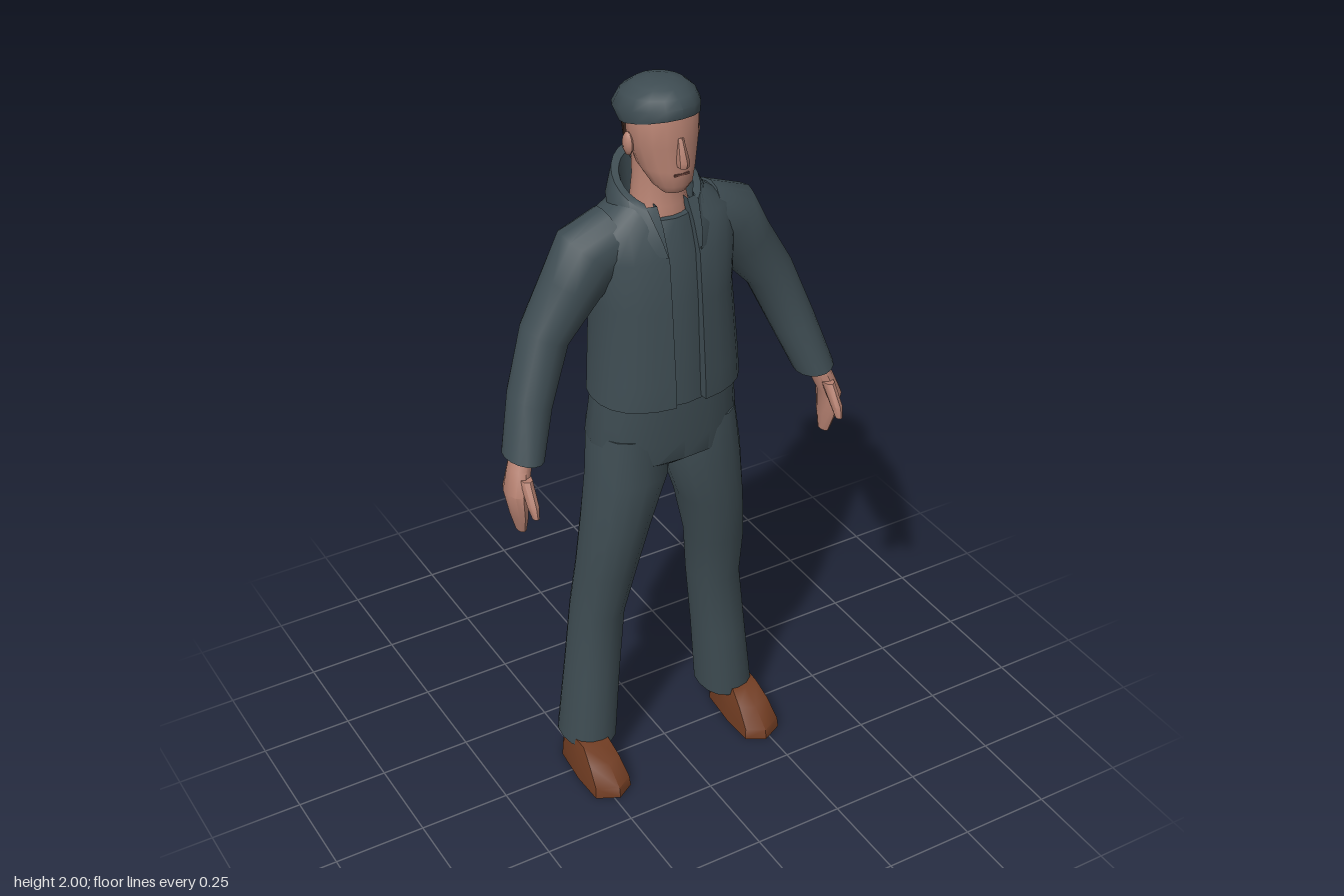
import * as THREE from 'three';
import { toCreasedNormals } from 'three/addons/utils/BufferGeometryUtils.js';

const mat = (name, color, side = THREE.FrontSide) => {
  const m = new THREE.MeshStandardMaterial({ color, side });
  m.name = name;
  return m;
};

// One cross-section, starting at the front and turning toward +x.
// tilt leans it sideways, slope raises it along z, gap leaves an opening at the front, lip folds its edges inward.
function ring(x, y, z, rx, rz, { tilt = 0, slope = 0, n = 16, p = 1, gap = 0, lip = 0, from = 0 } = {}) {
  const start = gap ? Math.asin(Math.pow(gap / rx, 1 / p)) : from;
  const open = start > 0;
  const count = open ? n + 1 : n;
  const pts = [];
  for (let i = 0; i < count; i++) {
    const a = start + (2 * Math.PI - 2 * start) * i / n;
    const s = Math.sin(a), c = Math.cos(a);
    const u = rx * Math.sign(s) * Math.pow(Math.abs(s), p);
    const w = rz * Math.sign(c) * Math.pow(Math.abs(c), p);
    pts.push(new THREE.Vector3(x + u * Math.cos(tilt), y + u * Math.sin(tilt) + slope * w, z + w));
  }
  if (lip) {
    const fold = q => new THREE.Vector3(q.x, q.y, q.z - lip);
    pts.unshift(fold(pts[0]));
    pts.push(fold(pts[pts.length - 1]));
  }
  return pts;
}

// Skin over cross-sections given from bottom to top
function loft(rings, { open = false, caps = !open, crease = 0.8 } = {}) {
  const out = [], n = rings[0].length;
  const tri = (...v) => v.forEach(q => out.push(q.x, q.y, q.z));
  for (let i = 0; i < rings.length - 1; i++) {
    for (let j = 0; j < (open ? n - 1 : n); j++) {
      const k = (j + 1) % n, a = rings[i], b = rings[i + 1];
      tri(a[j], a[k], b[k]);
      tri(a[j], b[k], b[j]);
    }
  }
  if (caps) {
    const cap = (r, up) => {
      const mid = r.reduce((s, q) => s.add(q), new THREE.Vector3()).divideScalar(n);
      r.forEach((q, j) => up ? tri(mid, q, r[(j + 1) % n]) : tri(mid, r[(j + 1) % n], q));
    };
    cap(rings[0], false);
    cap(rings[rings.length - 1], true);
  }
  const g = new THREE.BufferGeometry();
  g.setAttribute('position', new THREE.Float32BufferAttribute(out, 3));
  return toCreasedNormals(g, crease);
}

// Mirror across x, turning the triangles so they still face outward
function mirrored(geo, crease = 0.8) {
  const p = geo.attributes.position, out = [];
  for (let i = 0; i < p.count; i += 3)
    for (const j of [i, i + 2, i + 1]) out.push(-p.getX(j), p.getY(j), p.getZ(j));
  const g = new THREE.BufferGeometry();
  g.setAttribute('position', new THREE.Float32BufferAttribute(out, 3));
  return toCreasedNormals(g, crease);
}

export function createModel() {
  const model = new THREE.Group();
  model.name = 'standingMan';
  const cloth = mat('slateCloth', 0x3e4c52, THREE.DoubleSide);
  const skin = mat('skin', 0xb48070);
  const leather = mat('brownLeather', 0x703c22);
  const hairBrown = mat('darkHair', 0x432c23, THREE.DoubleSide);
  const lips = mat('lips', 0x6e453c);

  const add = (name, geo, material) => {
    const m = new THREE.Mesh(geo, material);
    m.name = name;
    model.add(m);
    return m;
  };
  const pair = (name, geo, material) => {
    add('left' + name, geo, material);
    add('right' + name, mirrored(geo), material);
  };
  const rows = (list, opts) => list.map(([x, y, z, rx, rz, tilt = 0]) => ring(x, y, z, rx, rz, { tilt, ...opts }));

  // Trousers
  add('trouserSeat', loft(rows([
    [0, 0.955, -0.005, 0.12, 0.05], [0, 1.0, -0.012, 0.198, 0.112],
    [0, 1.06, -0.02, 0.205, 0.125], [0, 1.2, -0.012, 0.19, 0.118],
  ], { n: 20, p: 0.85 })), cloth);
  pair('TrouserLeg', loft(rows([
    [0.22, 0.085, -0.05, 0.075, 0.09], [0.2, 0.3, -0.05, 0.071, 0.084],
    [0.18, 0.5, -0.05, 0.07, 0.08], [0.165, 0.65, -0.023, 0.077, 0.087],
    [0.14, 0.8, -0.012, 0.088, 0.098], [0.108, 0.95, -0.008, 0.106, 0.106],
    [0.1, 1.08, -0.02, 0.1, 0.11],
  ], { p: 0.9 })), cloth);

  // Shoes: one sole outline narrowing up to the ankle
  const half = [[0.052, 0.135], [0.055, 0.04], [0.046, -0.07], [0.022, -0.11]];
  const outline = [[-0.005, 0.165], ...half, ...half.map(([x, z]) => [-x, z]).reverse()];
  const shoeRing = (y, sx, sz, front = 0) => outline.map(([x, z]) =>
    new THREE.Vector3(0.24 + x * sx, y + (z > 0.1 ? front : 0), -0.04 + (z + 0.04) * sz));
  pair('Shoe', loft([shoeRing(0, 1.05, 1), shoeRing(0.04, 1, 0.98, -0.01),
    shoeRing(0.075, 0.88, 0.72), shoeRing(0.105, 0.75, 0.45)]), leather);

  // Shirt seen through the open jacket
  add('shirt', loft(rows([
    [0, 1.175, -0.01, 0.17, 0.125], [0, 1.45, -0.02, 0.15, 0.118],
    [0, 1.58, -0.025, 0.14, 0.108], [0, 1.665, -0.03, 0.085, 0.085],
  ])), cloth);

  // Jacket body with folded front edges and a turned-in hem
  add('jacket', loft(rows([
    [0, 1.2, -0.01, 0.17, 0.12], [0, 1.182, -0.008, 0.2, 0.142], [0, 1.25, -0.01, 0.196, 0.142],
    [0, 1.45, -0.02, 0.183, 0.134], [0, 1.58, -0.026, 0.195, 0.126],
    [0, 1.655, -0.032, 0.185, 0.1], [0, 1.7, -0.035, 0.12, 0.075],
  ], { n: 24, p: 0.85, gap: 0.042, lip: 0.03 }), { open: true }), cloth);

  // Sleeves
  pair('Sleeve', loft(rows([
    [0.424, 1.12, 0.04, 0.051, 0.064, 0.2], [0.38, 1.25, 0.0, 0.058, 0.065, 0.4],
    [0.32, 1.4, -0.028, 0.064, 0.066, 0.46], [0.24, 1.51, -0.035, 0.08, 0.078, 0.5],
    [0.19, 1.58, -0.035, 0.098, 0.086, 0.75], [0.12, 1.61, -0.035, 0.085, 0.085, 1.2],
  ])), cloth);

  // Collar standing at the back and falling open at the front
  const collar = [
    [1.635, -0.015, 0.13, 0.122, -0.4, 0.045], [1.68, -0.025, 0.132, 0.122, -0.45, 0.055],
    [1.735, -0.04, 0.108, 0.108, -0.5, 0.068], [1.735, -0.04, 0.09, 0.088, -0.5, 0.066],
    [1.64, -0.02, 0.085, 0.09, -0.4, 0.045], [1.635, -0.015, 0.13, 0.122, -0.4, 0.045],
  ].map(([y, z, rx, rz, slope, gap]) => ring(0, y, z, rx, rz, { slope, gap, n: 20 }));
  add('collar', loft(collar, { open: true }), cloth);

  // Hands
  pair('Hand', loft(rows([
    [0.45, 0.925, 0.065, 0.012, 0.02], [0.455, 0.975, 0.067, 0.021, 0.035],
    [0.461, 1.045, 0.065, 0.028, 0.045], [0.44, 1.1, 0.05, 0.03, 0.038], [0.425, 1.14, 0.04, 0.03, 0.035],
  ], { n: 10 })), skin);
  pair('Thumb', loft(rows([
    [0.445, 1.0, 0.14, 0.009, 0.012], [0.445, 1.03, 0.126, 0.015, 0.02], [0.442, 1.085, 0.085, 0.016, 0.025],
  ], { n: 8 })), skin);

  // Neck and head
  add('neck', loft(rows([
    [0, 1.62, -0.025, 0.08, 0.07], [0, 1.69, -0.03, 0.072, 0.064],
    [0, 1.75, -0.04, 0.06, 0.056], [0, 1.84, -0.04, 0.06, 0.062],
  ])), skin);
  add('head', loft(rows([
    [0, 1.742, 0.045, 0.032, 0.026], [0, 1.762, 0.033, 0.052, 0.05], [0, 1.8, 0.006, 0.07, 0.076],
    [0, 1.86, -0.008, 0.086, 0.086], [0, 1.92, -0.01, 0.09, 0.086], [0, 1.965, -0.02, 0.075, 0.08],
  ])), skin);
  const nose = [[1.815, 0.088, 0.014, 0.014], [1.83, 0.085, 0.015, 0.022], [1.885, 0.07, 0.008, 0.012]];
  add('nose', loft(nose.map(([y, z, rx, rz]) => ring(0, y, z, rx, rz, { n: 6 }))), skin);
  add('mouth', new THREE.BoxGeometry(0.04, 0.005, 0.008), lips).position.set(0, 1.793, 0.079);
  const ear = new THREE.SphereGeometry(1, 8, 6).scale(0.012, 0.03, 0.02).translate(0.09, 1.855, -0.015);
  pair('Ear', ear.toNonIndexed(), skin);

  // Hair at the nape
  add('hair', loft(rows([
    [0, 1.795, -0.03, 0.066, 0.075], [0, 1.84, -0.022, 0.084, 0.09], [0, 1.91, -0.02, 0.093, 0.1],
  ], { from: 1.75 }), { open: true }), hairBrown);

  // Soft cap, fuller at the back
  add('cap', loft([
    [1.905, -0.022, 0.094, 0.104, 0.28], [1.935, -0.04, 0.1, 0.125, 0.2],
    [1.968, -0.034, 0.087, 0.1, 0.1], [1.99, -0.025, 0.062, 0.068, 0.04], [2.0, -0.02, 0.03, 0.035, 0],
  ].map(([y, z, rx, rz, slope]) => ring(0, y, z, rx, rz, { slope })), { crease: 1 }), cloth);

  return model;
}
